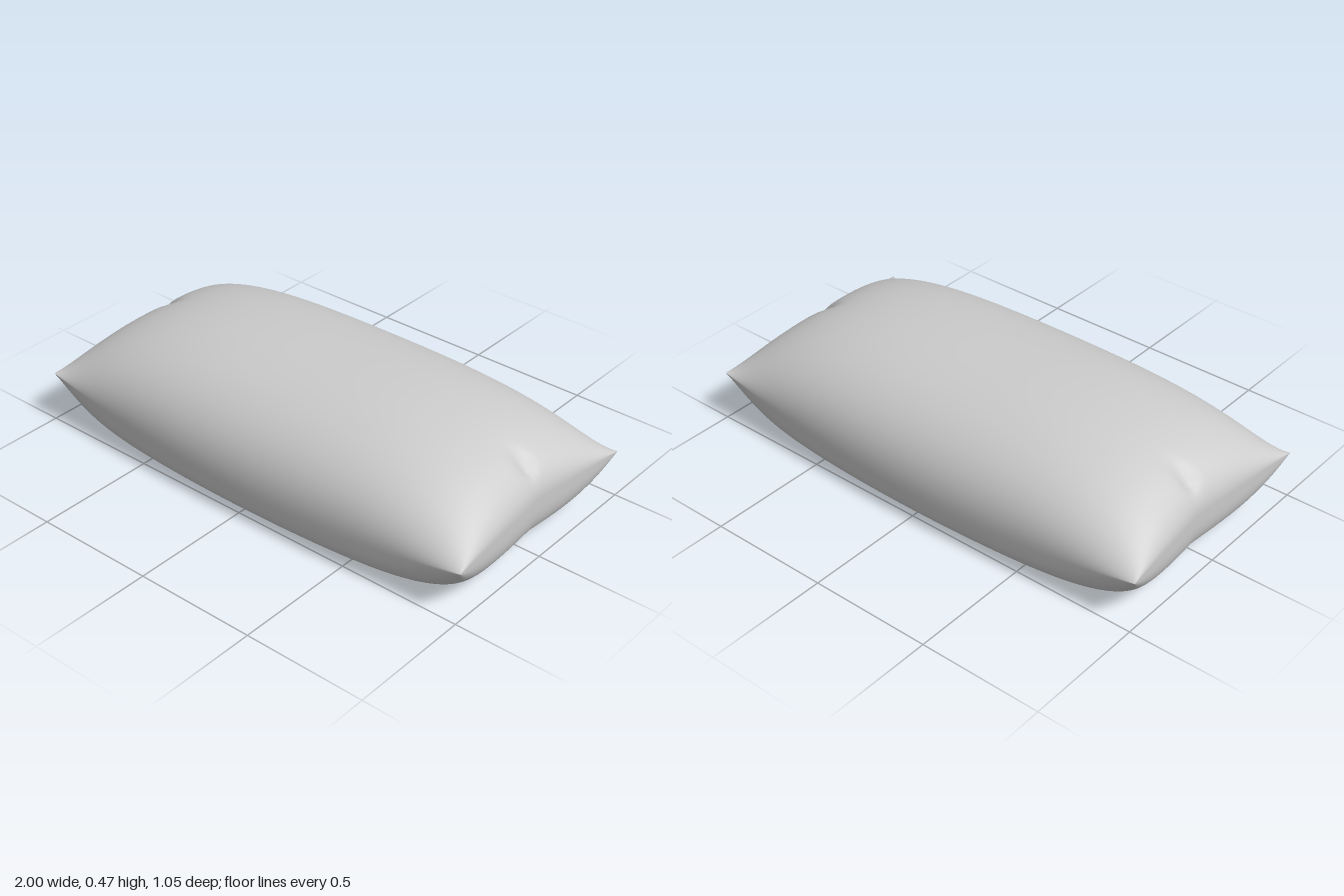
import * as THREE from 'three';
import { mergeVertices } from 'three/addons/utils/BufferGeometryUtils.js';

const STATIONS = 110; // cross-sections along the length
const HALF = 70;      // steps across the top (and across the underside)

const mix = THREE.MathUtils.lerp;
const bump = (d, width) => Math.exp(-((d / width) ** 2));

// Wrinkles pressed into the underside: [x0, z0, x1, z1]
const wrinkles = [
  [-0.02, 0.02, -0.03, 0.27],
  [-0.04, -0.03, -0.2, -0.33],
  [0.1, -0.1, 0.25, -0.3],
  [0.1, 0.1, 0.28, 0.31],
];

function distanceToSegment(x, z, [x0, z0, x1, z1]) {
  const dx = x1 - x0, dz = z1 - z0;
  const t = THREE.MathUtils.clamp(((x - x0) * dx + (z - z0) * dz) / (dx * dx + dz * dz), 0, 1);
  return Math.hypot(x - x0 - t * dx, z - z0 - t * dz);
}

// u runs along the length, s across the width, both -1..1
function cushionPoint(u, s, isTop) {
  const a = Math.abs(u), c = Math.abs(s);
  const halfWidth = 0.487 + 0.038 * Math.max(0, 1 - a * a) ** 1.5;
  const seamY = 0.12 + 0.085 * a ** 2.5;
  const topY = 0.205 + 0.265 * Math.max(0, 1 - a ** 3) ** 0.47;
  const bottomY = 0.205 * (1 - Math.max(0, 1 - a ** 11) ** 0.3);
  const toEnd = a ** 6; // sections turn from rounded to lens-shaped

  // end seams are drawn in towards the middle
  const pinch = s > -0.08 ? (s + 0.08) / 1.08 : (-0.08 - s) / 0.92;
  const x = u * (1 - 0.048 * (1 - pinch) * a ** 4);
  const z = s * halfWidth;

  let y;
  if (isTop) {
    const f = Math.max(0, 1 - c ** 2.3) ** mix(0.435, 0.8, toEnd);
    y = seamY + (topY - seamY) * f;
    // short crease running in from each end seam
    y -= 0.03 * bump(s + 0.07, 0.06) * bump(a - 0.93, 0.07) * Math.min(1, (1 - a) * 15);
  } else {
    const f = Math.max(0, 1 - c ** mix(5, 3, toEnd)) ** mix(0.2, 0.7, toEnd);
    y = seamY + (bottomY - seamY) * f;
    const d = Math.min(...wrinkles.map((w) => distanceToSegment(x, z, w)));
    y += 0.016 * bump(d, 0.022);
  }
  return [x, y, z];
}

function cushionGeometry() {
  const positions = [], index = [];
  const ring = HALF * 2;
  for (let i = 0; i <= STATIONS; i++) {
    const u = Math.sin((i / STATIONS - 0.5) * Math.PI);
    for (let j = 0; j < ring; j++) {
      // over the top from front to back, then under from back to front
      const s = Math.cos((j / HALF) * Math.PI);
      positions.push(...cushionPoint(u, s, j <= HALF));
    }
  }
  for (let i = 0; i < STATIONS; i++) {
    for (let j = 0; j < ring; j++) {
      const k = (j + 1) % ring;
      const a = i * ring + j, b = (i + 1) * ring + j;
      const c = (i + 1) * ring + k, d = i * ring + k;
      index.push(a, b, c, a, c, d);
    }
  }
  const geometry = new THREE.BufferGeometry();
  geometry.setAttribute('position', new THREE.Float32BufferAttribute(positions, 3));
  geometry.setIndex(index);
  // weld top and bottom along the end seams so shading stays smooth
  const welded = mergeVertices(geometry, 1e-5);
  welded.computeVertexNormals();
  return welded;
}

export function createModel() {
  const group = new THREE.Group();
  group.name = 'pillow';
  const cushion = new THREE.Mesh(
    cushionGeometry(),
    new THREE.MeshStandardMaterial({ color: 0xcccccc })
  );
  cushion.name = 'cushion';
  group.add(cushion);
  return group;
}
